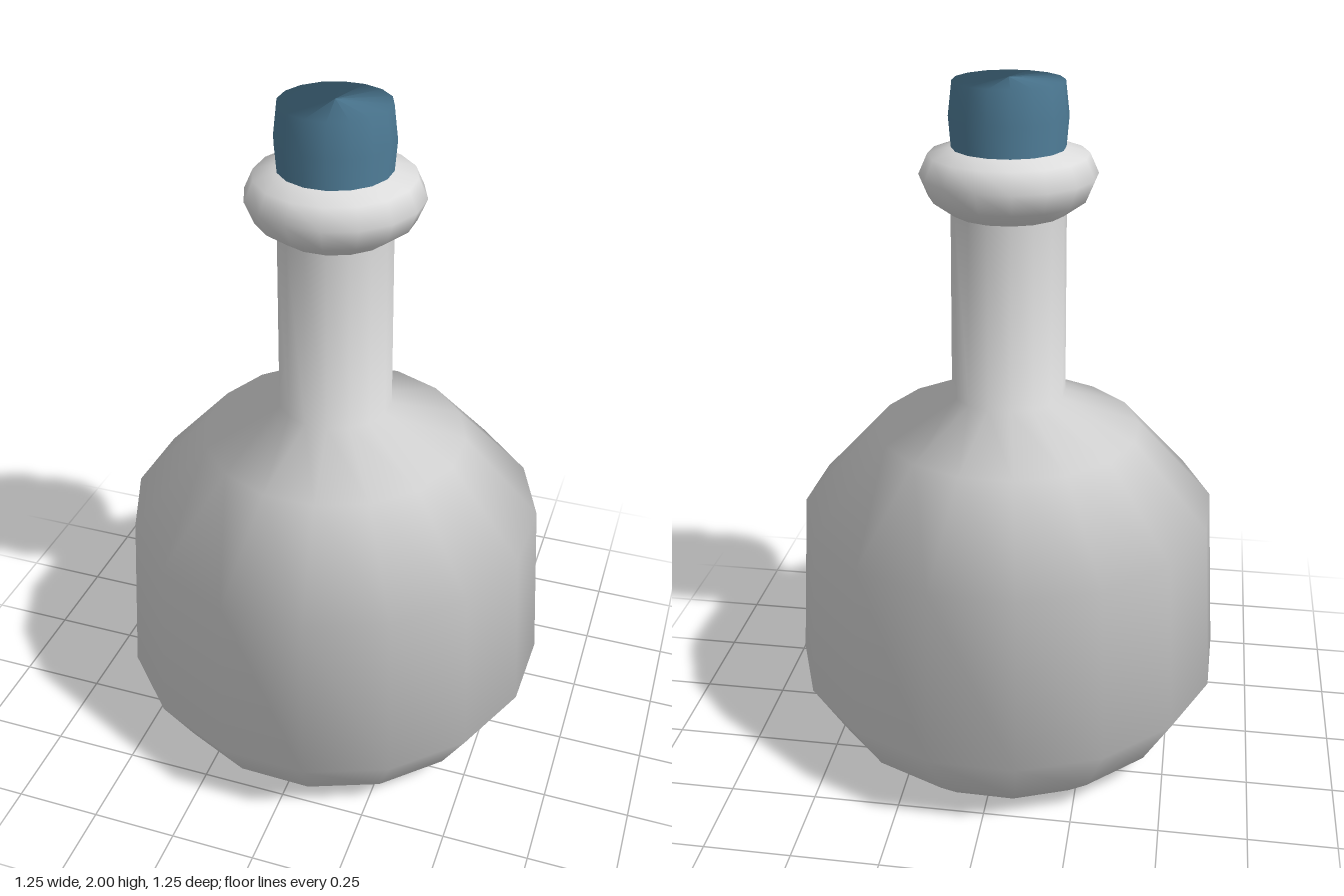
import * as THREE from 'three';

const SIDES = 16;
const TURN = THREE.MathUtils.degToRad(10);

// Turned part from rows of [radius, height, upward lean of the smooth normal]
function turned(name, rows, material) {
  const points = rows.map(([r, y]) => new THREE.Vector2(r, y));
  const geometry = new THREE.LatheGeometry(points, SIDES, TURN);
  const normal = geometry.attributes.normal;
  for (let i = 0; i <= SIDES; i++) {
    const angle = TURN + (i / SIDES) * Math.PI * 2;
    rows.forEach(([, , lean], j) => {
      const out = Math.sqrt(1 - lean * lean);
      normal.setXYZ(i * rows.length + j, Math.sin(angle) * out, lean, Math.cos(angle) * out);
    });
  }
  const mesh = new THREE.Mesh(geometry, material);
  mesh.name = name;
  return mesh;
}

export function createModel() {
  const glass = new THREE.MeshStandardMaterial({ color: 0xdcdcdc });
  glass.name = 'pale glass';
  const blue = new THREE.MeshStandardMaterial({ color: 0x4f7d98 });
  blue.name = 'blue stopper';

  const bottle = new THREE.Group();
  bottle.name = 'bottle';

  // Round body with closed base, sloping shoulder and straight neck
  bottle.add(turned('bodyAndNeck', [
    [0, 0, -1],
    [0.43, 0, -0.9],
    [0.54, 0.1, -0.75],
    [0.634, 0.26, -0.4],
    [0.6, 0.77, -0.15],
    [0.38, 1.01, 0.3],
    [0.163, 1.115, 0.3],
    [0.158, 1.65, 0],
  ], glass));

  // Rounded lip around the mouth
  bottle.add(turned('lip', [
    [0.155, 1.64, -0.8],
    [0.218, 1.685, -0.6],
    [0.243, 1.745, 0],
    [0.218, 1.8, 0.7],
    [0.145, 1.82, 0.95],
  ], glass));

  // Stopper with slightly bulging sides
  bottle.add(turned('stopper', [
    [0.153, 1.8, 0],
    [0.161, 1.9, 0],
    [0.15, 1.993, 0.1],
    [0, 2, 0.15],
  ], blue));

  return bottle;
}
